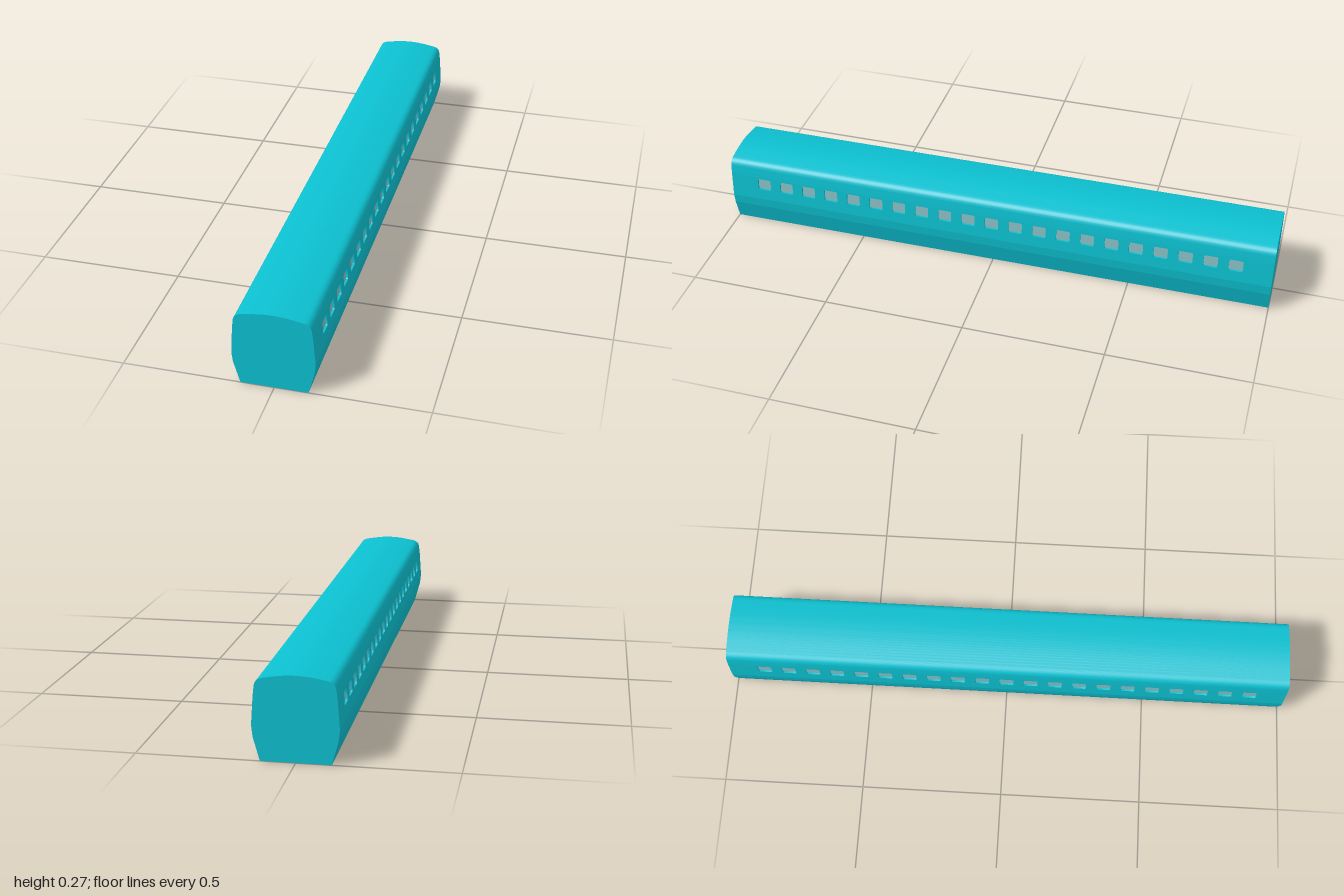
import * as THREE from 'three';
import { toCreasedNormals } from 'three/addons/utils/BufferGeometryUtils.js';

const paint = new THREE.MeshStandardMaterial({ color: 0x0cc0d0 });
const paneMaterial = new THREE.MeshStandardMaterial({ color: 0x86bec4 });

const LENGTH = 2;
const RECESS = 0.008;
const WINDOWS = { count: 21, pitch: 0.0872, y: 0.176, width: 0.05, height: 0.044, radius: 0.006 };

// straight strip of the side wall that carries the windows
const LOW = { x: 0.1326, y: 0.148 };
const HIGH = { x: 0.1286, y: 0.204 };
const slope = (LOW.x - HIGH.x) / (HIGH.y - LOW.y);
const wallX = (y) => LOW.x - slope * (y - LOW.y);

const windowCentres = Array.from({ length: WINDOWS.count },
  (_, i) => (i - (WINDOWS.count - 1) / 2) * WINDOWS.pitch);

// right-hand half of the cross-section, bottom to top, with the window channel cut in
function halfProfile() {
  const corner = new THREE.CubicBezierCurve(
    new THREE.Vector2(0.125, 0.235), new THREE.Vector2(0.1235, 0.252),
    new THREE.Vector2(0.113, 0.2605), new THREE.Vector2(0.099, 0.263));
  const roof = new THREE.CubicBezierCurve(
    new THREE.Vector2(0.099, 0.263), new THREE.Vector2(0.06, 0.27),
    new THREE.Vector2(0.035, 0.2745), new THREE.Vector2(0, 0.2745));
  return [
    [0.11, 0], [0.131, 0.076], [0.135, 0.112],
    [LOW.x, LOW.y], [LOW.x - RECESS, LOW.y],
    [HIGH.x - RECESS, HIGH.y], [HIGH.x, HIGH.y],
    ...corner.getPoints(16).map((p) => [p.x, p.y]),
    ...roof.getPoints(10).slice(1).map((p) => [p.x, p.y]),
  ].map(([x, y]) => new THREE.Vector2(x, y));
}

function bodyGeometry() {
  const right = halfProfile();
  const left = right.slice(0, -1).reverse().map((p) => new THREE.Vector2(-p.x, p.y));
  const geometry = new THREE.ExtrudeGeometry(new THREE.Shape([...right, ...left]),
    { depth: LENGTH, bevelEnabled: false });
  geometry.translate(0, 0, -LENGTH / 2);
  return toCreasedNormals(geometry, 0.13);
}

function roundedOpening(cx, cy, w, h, r) {
  const path = new THREE.Path();
  const x = w / 2 - r, y = h / 2 - r;
  path.absarc(cx + x, cy + y, r, 0, Math.PI / 2);
  path.absarc(cx - x, cy + y, r, Math.PI / 2, Math.PI);
  path.absarc(cx - x, cy - y, r, Math.PI, Math.PI * 1.5);
  path.absarc(cx + x, cy - y, r, Math.PI * 1.5, Math.PI * 2);
  path.closePath();
  return path;
}

// wall strip with window openings, leaned to follow the side
function windowBandGeometry() {
  const L = LENGTH / 2;
  const shape = new THREE.Shape([
    new THREE.Vector2(-L, LOW.y), new THREE.Vector2(L, LOW.y),
    new THREE.Vector2(L, HIGH.y), new THREE.Vector2(-L, HIGH.y)]);
  for (const z of windowCentres) {
    shape.holes.push(roundedOpening(z, WINDOWS.y, WINDOWS.width, WINDOWS.height, WINDOWS.radius));
  }
  const geometry = new THREE.ExtrudeGeometry(shape,
    { depth: RECESS, bevelEnabled: false, curveSegments: 4 });
  geometry.rotateY(Math.PI / 2);
  const p = geometry.attributes.position;
  for (let i = 0; i < p.count; i++) p.setX(i, p.getX(i) - RECESS + wallX(p.getY(i)));
  geometry.computeVertexNormals();
  return toCreasedNormals(geometry, 0.5);
}

function addMesh(parent, name, geometry, material) {
  const mesh = new THREE.Mesh(geometry, material);
  mesh.name = name;
  parent.add(mesh);
  return mesh;
}

export function createModel() {
  const carriage = new THREE.Group();
  carriage.name = 'railCarriage';
  addMesh(carriage, 'bodyShell', bodyGeometry(), paint);

  const band = windowBandGeometry();
  const pane = new THREE.BoxGeometry(0.003, WINDOWS.height + 0.004, WINDOWS.width + 0.004);

  // both sides: the right is the left turned half round
  for (const [name, turn] of [['leftSide', 0], ['rightSide', Math.PI]]) {
    const side = new THREE.Group();
    side.name = name;
    side.rotation.y = turn;
    addMesh(side, 'windowBand', band, paint);
    for (const z of windowCentres) {
      const glass = addMesh(side, 'windowPane', pane, paneMaterial);
      glass.position.set(wallX(WINDOWS.y) - RECESS, WINDOWS.y, z);
      glass.rotation.z = Math.atan(slope);
    }
    carriage.add(side);
  }
  return carriage;
}
